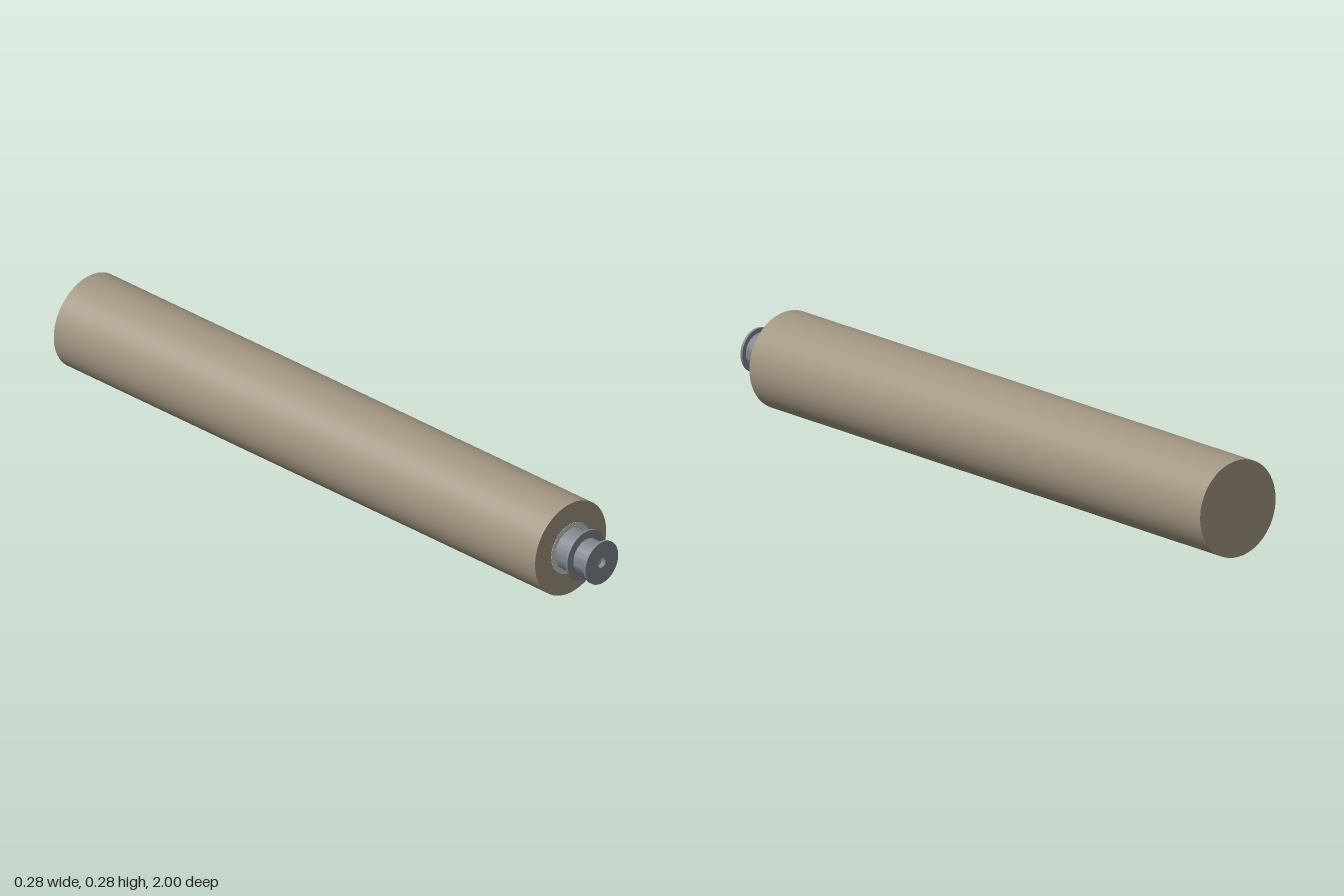
import * as THREE from 'three';
import { toCreasedNormals } from 'three/addons/utils/BufferGeometryUtils.js';

const R = 0.141; // body radius, also the height of the axis

// Revolves [radius, z] points around the long axis, keeping corners sharp
function turned(name, color, points) {
  const profile = points.map(([r, z]) => new THREE.Vector2(r, z));
  const geometry = toCreasedNormals(new THREE.LatheGeometry(profile, 72), 0.5);
  geometry.rotateX(Math.PI / 2);
  const mesh = new THREE.Mesh(geometry, new THREE.MeshStandardMaterial({ color }));
  mesh.name = name;
  mesh.position.y = R;
  return mesh;
}

export function createModel() {
  const model = new THREE.Group();
  model.name = 'roller';

  // Long solid cylinder
  model.add(turned('body', 0xa09480, [[0, -1], [R, -1], [R, 0.878], [0, 0.878]]));

  // Pale ring where the neck enters the body
  model.add(turned('neckRing', 0xcccccc, [[0.077, 0.878], [0.077, 0.879], [0.06, 0.879]]));

  // Stepped neck with a thin flange, an end lip and a bored centre
  model.add(turned('neck', 0x80858d, [
    [0.062, 0.87], [0.062, 0.933],
    [0.076, 0.933], [0.076, 0.94],
    [0.052, 0.94], [0.052, 0.992],
    [0.065, 0.992], [0.065, 1],
    [0.015, 1], [0.015, 0.98],
  ]));

  // Pin at the bottom of the bore
  model.add(turned('centrePin', 0xa8a27c, [[0.015, 0.98], [0.015, 0.985], [0, 0.985]]));

  return model;
}
